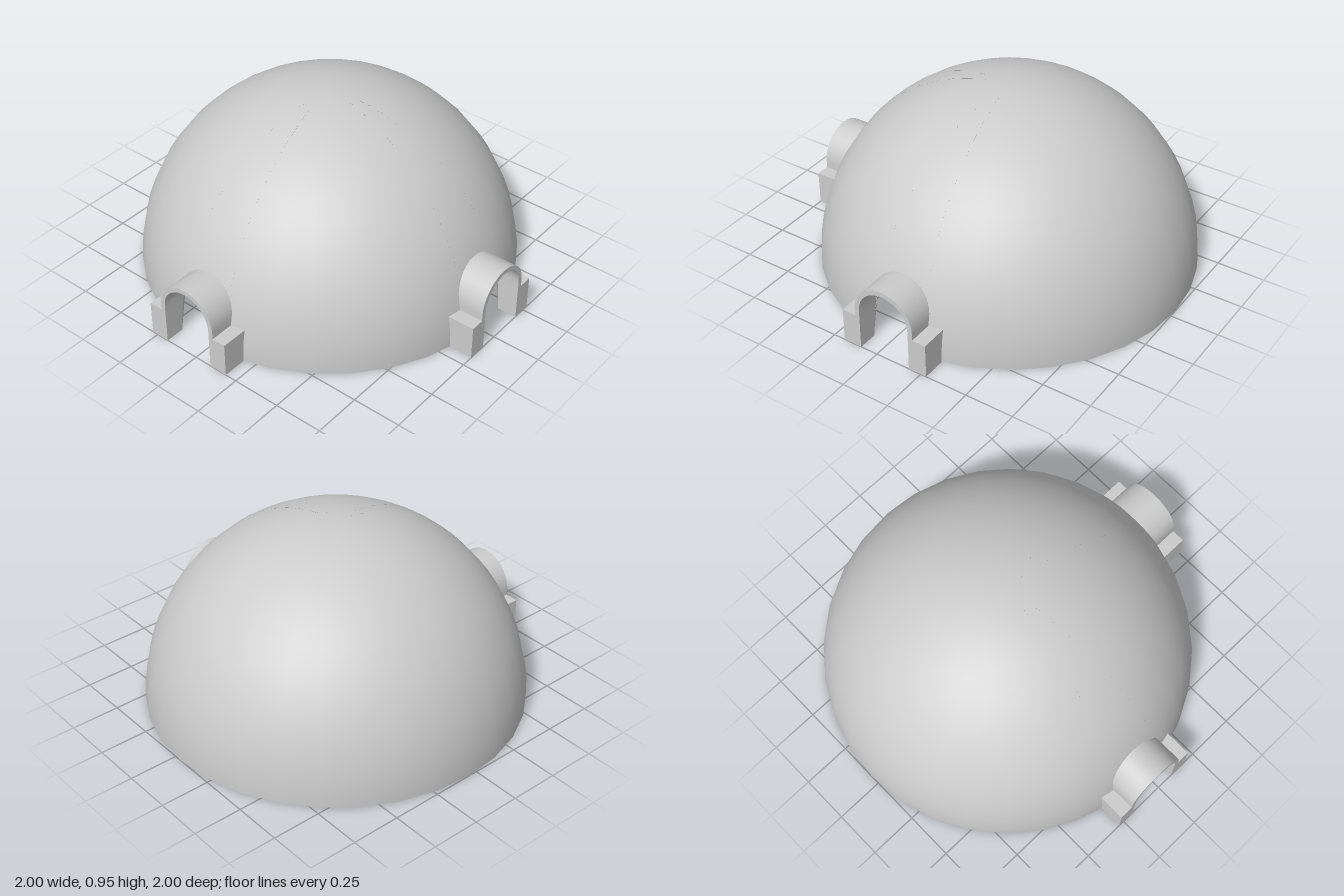
import * as THREE from 'three';
import { toCreasedNormals } from 'three/addons/utils/BufferGeometryUtils.js';

const R = 0.954;        // dome radius
const C = -0.046;       // dome centre in x and z
const SPRING = 0.217;   // height where the door arch starts
const R_IN = 0.138, R_OUT = 0.163;   // door arch radii
const ARCH = 20;        // segments in the arch

function buildGeometry(positions, index) {
  const g = new THREE.BufferGeometry();
  g.setAttribute('position', new THREE.Float32BufferAttribute(positions, 3));
  g.setIndex(index);
  return g;
}

// Arch points from the right side over the top to the left
function arch(r) {
  const pts = [];
  for (let i = 0; i <= ARCH; i++) {
    const t = Math.PI * i / ARCH;
    pts.push(new THREE.Vector2(r * Math.cos(t), SPRING + r * Math.sin(t)));
  }
  return pts;
}

// Vertical run of points, subdivided so its back edge can follow the dome
function riser(x, top) {
  return [0, 1, 2, 3, 4].map(i => new THREE.Vector2(x, top * i / 4));
}

const mirrored = pts => pts.map(p => new THREE.Vector2(-p.x, p.y)).reverse();

// Hemisphere made of columns; columns over a doorway start at its arch
function domeGeometry() {
  const columns = [], rows = 16, segments = 32;
  for (let i = 1; i <= segments + 1; i++) {
    const a = i * 2 * Math.PI / segments;
    if (i !== segments / 4 && i !== segments) {
      columns.push([a, 0]);
      continue;
    }
    const door = arch(R_IN).reverse().map(p => {
      const e = Math.asin(p.y / R);
      return [a + Math.asin(p.x / (R * Math.cos(e))), e];
    });
    columns.push([door[0][0], 0], ...door, [door[ARCH][0], 0]);
  }
  const pos = [], normals = [], index = [];
  columns.forEach(([a, start], c) => {
    for (let r = 0; r <= rows; r++) {
      const e = THREE.MathUtils.lerp(start, Math.PI / 2, r / rows);
      const n = [Math.cos(e) * Math.sin(a), Math.sin(e), Math.cos(e) * Math.cos(a)];
      normals.push(...n);
      pos.push(...n.map(v => v * R));
      if (c < columns.length - 1 && r < rows) {
        const p = c * (rows + 1) + r, q = p + rows + 1;
        index.push(p, q, q + 1, p, q + 1, p + 1);
      }
    }
  });
  const g = buildGeometry(pos, index);
  g.setAttribute('normal', new THREE.Float32BufferAttribute(normals, 3));
  return g;
}

// Wall swept from the doorway front back to the dome surface
function wallGeometry(profile, front) {
  const pos = [], index = [];
  profile.forEach((p, i) => {
    const back = Math.sqrt(R * R - p.x * p.x - p.y * p.y);
    pos.push(p.x, p.y, front, p.x, p.y, back);
    if (i < profile.length - 1) {
      const k = 2 * i;
      index.push(k, k + 1, k + 2, k + 1, k + 3, k + 2);
    }
  });
  return toCreasedNormals(buildGeometry(pos, index), 0.6);
}

// Arched entrance with a low block on each side, open underneath
function createDoorway(name, material) {
  const front = 1 - C;
  const sideBlock = riser(0.235, 0.18).concat(new THREE.Vector2(R_OUT, 0.18));
  const outer = [...sideBlock, ...arch(R_OUT), ...mirrored(sideBlock)];
  const jamb = riser(R_IN, SPRING).slice(0, -1);
  const inner = [...jamb, ...arch(R_IN), ...mirrored(jamb)].reverse();

  const group = new THREE.Group();
  group.name = name;
  const add = (part, geometry) => {
    const mesh = new THREE.Mesh(geometry, material);
    mesh.name = part;
    group.add(mesh);
  };
  add('doorwayOuterWall', wallGeometry(outer, front));
  add('doorwayInnerWall', wallGeometry(inner, front));
  const face = new THREE.ShapeGeometry(new THREE.Shape([...outer, ...inner]));
  face.translate(0, 0, front);
  add('doorwayFrontFace', face);
  return group;
}

export function createModel() {
  const model = new THREE.Group();
  model.name = 'domeShelter';
  model.position.set(C, 0, C);

  const shell = new THREE.MeshStandardMaterial({ color: 0xcccccc, side: THREE.DoubleSide });
  const solid = new THREE.MeshStandardMaterial({ color: 0xcccccc });

  const dome = new THREE.Mesh(domeGeometry(), shell);
  dome.name = 'dome';
  model.add(dome);

  const frontDoorway = createDoorway('frontDoorway', solid);
  const leftDoorway = createDoorway('leftDoorway', solid);
  leftDoorway.rotation.y = Math.PI / 2;
  model.add(frontDoorway, leftDoorway);

  const root = new THREE.Group();
  root.add(model);
  return root;
}
